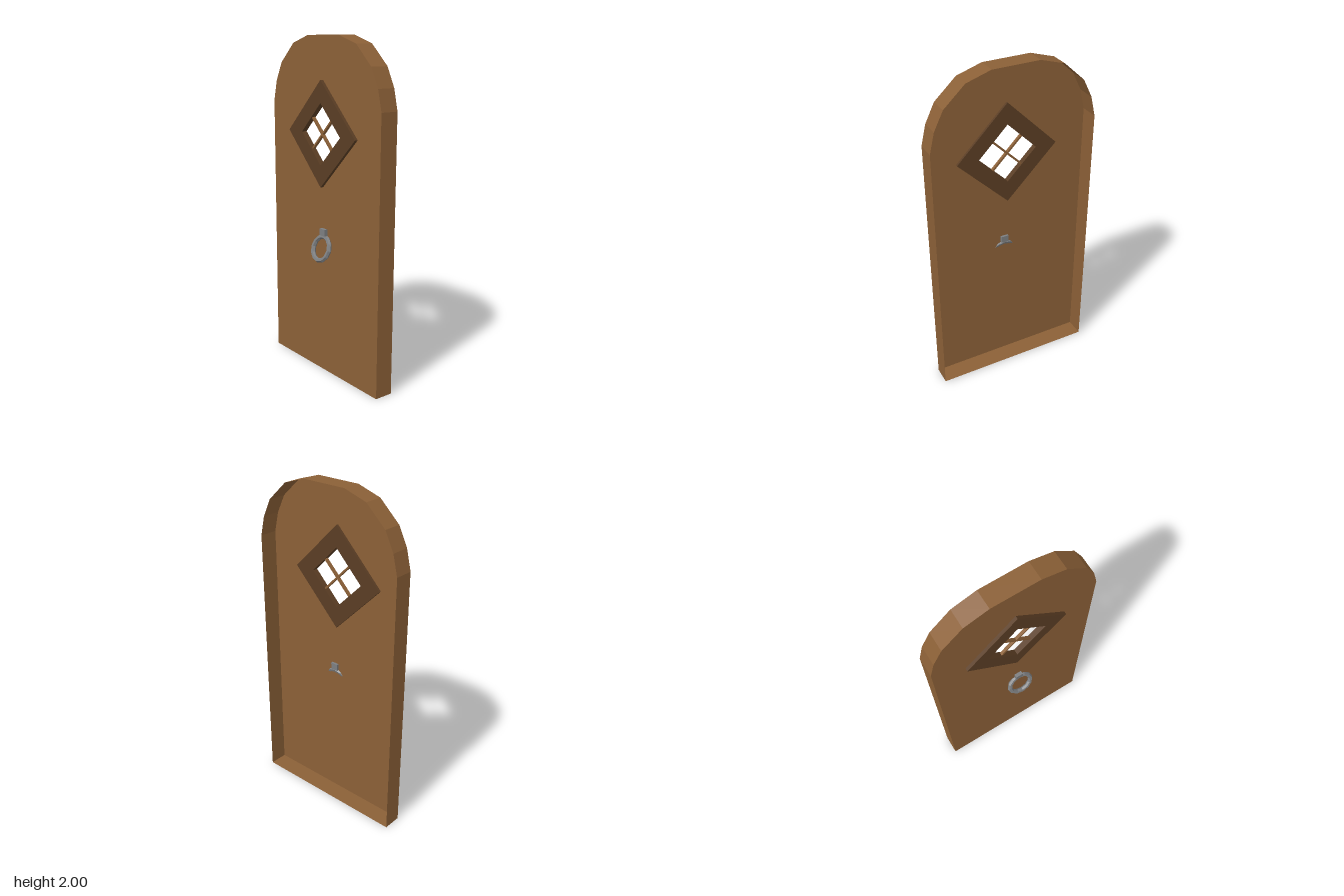
import * as THREE from 'three';

const FRONT = 0.022, BACK = -0.09;      // door face and rear edge of the rim
const WINDOW_Y = 1.448;

const mat = (name, color, extra = {}) => {
  const m = new THREE.MeshStandardMaterial({ color, ...extra });
  m.name = name;
  return m;
};

// Diamond outline around the window centre
const diamond = (r, y = 0) => [[r, y], [0, y + r], [-r, y], [0, y - r]].map(([a, b]) => new THREE.Vector2(a, b));

export function createModel() {
  const wood = mat('door wood', 0x8b6037, { side: THREE.DoubleSide });
  const darkWood = mat('dark frame wood', 0x5a3d24);
  const iron = mat('iron', 0x7c7e80, { flatShading: true });

  const door = new THREE.Group();
  door.name = 'archedDoor';
  const add = (name, geometry, material, x = 0, y = 0, z = 0) => {
    const mesh = new THREE.Mesh(geometry, material);
    mesh.name = name;
    mesh.position.set(x, y, z);
    door.add(mesh);
    return mesh;
  };

  // Arched outline, right half mirrored to the left
  const half = [[0.491, 0], [0.494, 1.61], [0.465, 1.73], [0.41, 1.84], [0.285, 1.955], [0.14, 2]];
  const outline = [...half, ...half.map(([x, y]) => [-x, y]).reverse()].map(([x, y]) => new THREE.Vector2(x, y));

  // Thin front panel with the window opening
  const panel = new THREE.Shape(outline);
  panel.holes.push(new THREE.Path(diamond(0.24, WINDOW_Y)));
  add('doorPanel', new THREE.ShapeGeometry(panel), wood, 0, 0, FRONT);

  // Rim running back from the panel edge, open at the rear
  const rim = [];
  outline.forEach((a, i) => {
    const b = outline[(i + 1) % outline.length];
    rim.push(a.x, a.y, FRONT, a.x, a.y, BACK, b.x, b.y, BACK);
    rim.push(a.x, a.y, FRONT, b.x, b.y, BACK, b.x, b.y, FRONT);
  });
  const rimGeometry = new THREE.BufferGeometry();
  rimGeometry.setAttribute('position', new THREE.Float32BufferAttribute(rim, 3));
  rimGeometry.computeVertexNormals();
  add('doorRim', rimGeometry, wood);

  // Diamond window frame, standing proud on both faces
  const frame = new THREE.Shape(diamond(0.307));
  frame.holes.push(new THREE.Path(diamond(0.178)));
  add('windowFrame', new THREE.ExtrudeGeometry(frame, { depth: 0.033, bevelEnabled: false }),
    darkWood, 0, WINDOW_Y, 0.008);

  // Crossed glazing bars
  for (const side of [-1, 1]) {
    const bar = add('windowBar', new THREE.BoxGeometry(0.256, 0.011, 0.018), wood, 0, WINDOW_Y, 0.022);
    bar.rotation.z = side * Math.PI / 4;
  }

  // Knocker ring hanging forward from its mount
  const ring = add('knockerRing', new THREE.TorusGeometry(0.072, 0.0145, 6, 12), iron, 0.018, 0.78, 0.05);
  ring.rotation.x = -0.33;
  add('knockerMount', new THREE.BoxGeometry(0.046, 0.04, 0.036), iron, 0.017, 0.876, 0.026);

  return door;
}
